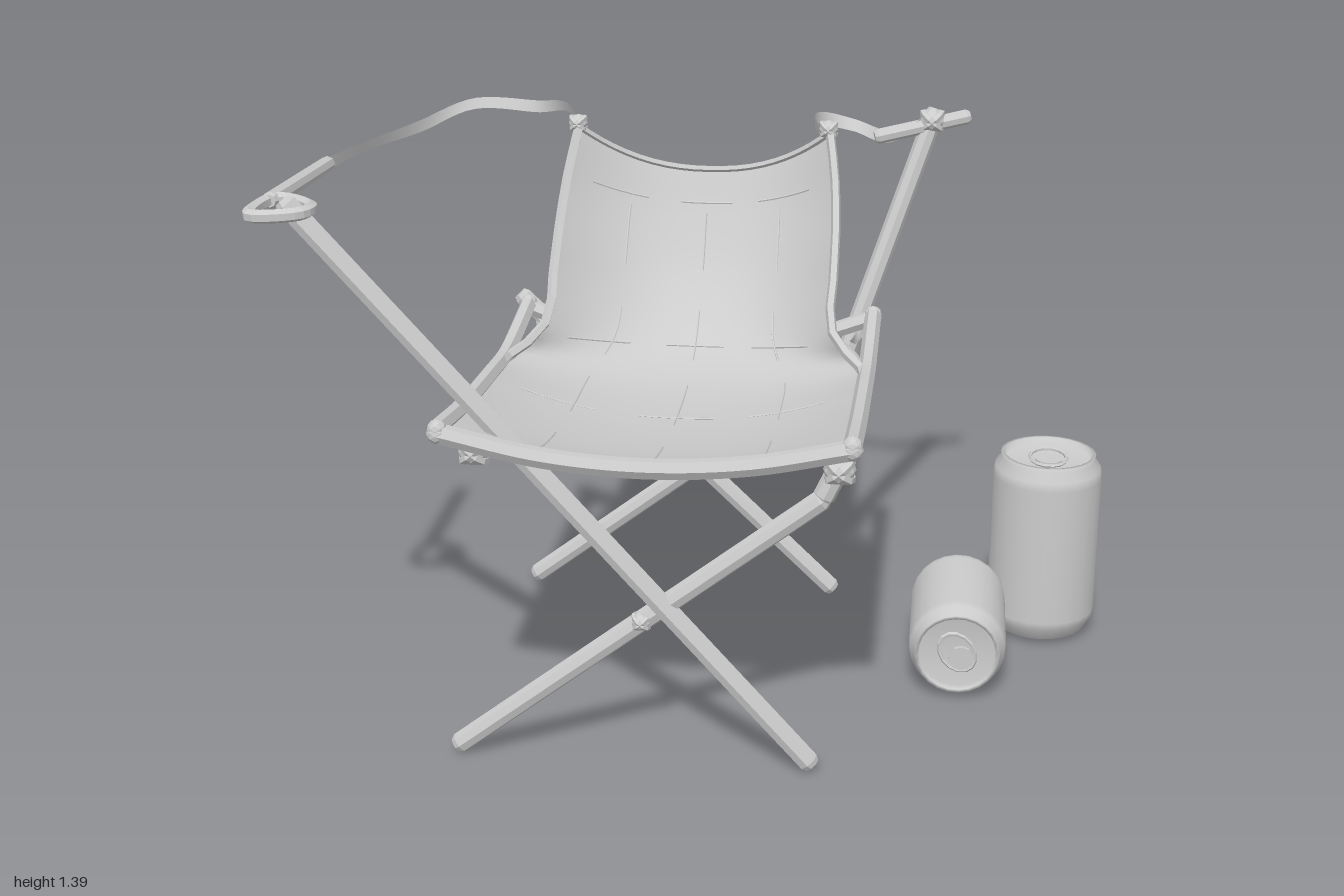
import * as THREE from 'three';
import { ParametricGeometry } from 'three/addons/geometries/ParametricGeometry.js';

const V = (p) => new THREE.Vector3(...p);
const CX = -0.09; // centre line of the seat

export function createModel() {
  const model = new THREE.Group();
  const wood = new THREE.MeshStandardMaterial({ color: 0xcccccc, flatShading: true });
  const smooth = new THREE.MeshStandardMaterial({ color: 0xcccccc });
  const cloth = new THREE.MeshStandardMaterial({ color: 0xcccccc, side: THREE.DoubleSide });

  function add(name, geometry, material = wood, parent = model) {
    const mesh = new THREE.Mesh(geometry, material);
    mesh.name = name;
    parent.add(mesh);
    return mesh;
  }

  // straight pole between two points, with softened ends
  function pole(name, a, b, r = 0.026) {
    const from = V(a), dir = V(b).sub(from), len = dir.length();
    const profile = [[0, 0], [r * 0.75, 0], [r, r * 0.5], [r, len - r * 0.5], [r * 0.75, len], [0, len]];
    const mesh = add(name, new THREE.LatheGeometry(profile.map((p) => new THREE.Vector2(...p)), 8));
    mesh.position.copy(from);
    mesh.quaternion.setFromUnitVectors(new THREE.Vector3(0, 1, 0), dir.normalize());
  }

  // rounded rod through several points
  function rod(name, points, r, closed = false, sides = 6) {
    const curve = new THREE.CatmullRomCurve3(points.map(V), closed, 'centripetal');
    add(name, new THREE.TubeGeometry(curve, points.length * 6, r, sides, closed));
    if (!closed) for (const p of [points[0], points[points.length - 1]]) {
      add(name + 'End', new THREE.IcosahedronGeometry(r * 1.05, 1)).position.set(...p);
    }
  }

  // lashing wrapped around a joint
  function lashing(p, size = 0.045) {
    const group = new THREE.Group();
    group.name = 'lashing';
    group.position.set(...p);
    add('knot', new THREE.IcosahedronGeometry(size, 1), wood, group).scale.set(0.85, 0.8, 0.95);
    for (const tilt of [-0.7, 0.7]) {
      add('wrap', new THREE.TorusGeometry(size * 0.8, size * 0.25, 5, 10), wood, group).rotation.set(Math.PI / 2, tilt, 0);
    }
    model.add(group);
  }

  // flat strap standing on edge along a curve
  function strap(name, points, width = 0.032) {
    const curve = new THREE.CatmullRomCurve3(points.map(V));
    add(name, new ParametricGeometry((u, v, out) => {
      curve.getPoint(u, out);
      const lean = Math.sin(u * 9) * 0.6;
      out.y += (v - 0.5) * width * Math.cos(lean);
      out.z += (v - 0.5) * width * Math.sin(lean);
    }, 40, 1), cloth);
  }

  // crossed legs, front and back
  pole('frontLongLeg', [0.29, 0.02, 0.5], [-0.92, 1.38, 0.5], 0.027);
  pole('frontShortLeg', [-0.58, 0.02, 0.5], [0.31, 0.71, 0.48]);
  pole('frontShortLegTip', [0.3, 0.7, 0.48], [0.37, 0.85, 0.47]);
  pole('backLongLeg', [-0.58, 0.02, -0.5], [0.29, 0.7, -0.47]);
  pole('backLongLegUpper', [0.28, 0.67, -0.465], [0.52, 1.38, -0.63]);
  pole('backShortLeg', [0.28, 0.02, -0.5], [-0.59, 0.88, -0.46]);
  lashing([-0.51, 0.79, 0.48]);
  lashing([0.34, 0.78, 0.48]);
  lashing([0.3, 0.69, -0.47]);
  lashing([-0.51, 0.8, -0.46]);
  for (const z of [0.5, -0.5]) lashing([-0.12, 0.38, z], 0.028);

  // seat frame
  for (const s of [-1, 1]) {
    const x = CX + s * 0.465;
    rod('sideRail', [[x, 0.9, 0.64], [x, 0.865, 0.4], [x, 0.84, 0.1], [x, 0.83, -0.1], [x, 0.87, -0.41]], 0.022);
    rod('innerBrace', [[x, 0.83, -0.02], [x - s * 0.05, 0.83, -0.2], [x - s * 0.1, 0.8, -0.38]], 0.014);
    strap('railTie', [[x, 0.86, -0.4], [x - s * 0.03, 0.81, -0.44], [CX + s * 0.4, 0.76, -0.47]]);
  }
  const across = (z, yEnd, yMid, zMid) => [-1, -0.5, 0, 0.5, 1].map((s) =>
    [CX + s * 0.465, yMid + (yEnd - yMid) * s * s, zMid + (z - zMid) * s * s]);
  rod('frontRail', across(0.64, 0.89, 0.83, 0.65), 0.024);
  rod('rearRail', across(-0.41, 0.86, 0.77, -0.36), 0.022);

  // sling: each row is edge z, edge y, middle z, middle y, half width
  const rows = [
    [0.64, 0.895, 0.65, 0.83, 0.46], [0.4, 0.865, 0.4, 0.765, 0.46], [0.12, 0.84, 0.1, 0.735, 0.46],
    [-0.09, 0.835, -0.17, 0.75, 0.445], [-0.15, 0.88, -0.33, 0.81, 0.375], [-0.28, 1.02, -0.47, 0.94, 0.365],
    [-0.42, 1.18, -0.56, 1.08, 0.36], [-0.52, 1.33, -0.62, 1.2, 0.335],
  ];
  const edge = new THREE.CatmullRomCurve3(rows.map((r) => new THREE.Vector3(r[4], r[1], r[0])));
  const middle = new THREE.CatmullRomCurve3(rows.map((r) => new THREE.Vector3(0, r[3], r[2])));
  function sling(u, v, out, lift = 0) {
    const s = u * 2 - 1, e = edge.getPoint(v), m = middle.getPoint(v);
    const k = Math.abs(s) ** 2.3;
    return out.set(CX + s * e.x, m.y + (e.y - m.y) * k + lift, m.z + (e.z - m.z) * k + lift);
  }
  add('slingSeat', new ParametricGeometry((u, v, out) => sling(u, v, out), 20, 36), cloth);

  // hems and stitched seams following the sling
  function seam(name, path, r, a, b) {
    const points = [];
    for (let i = 0; i <= 10; i++) {
      const [u, v] = path(a + (b - a) * i / 10);
      points.push(sling(u, v, new THREE.Vector3(), r * 0.3));
    }
    add(name, new THREE.TubeGeometry(new THREE.CatmullRomCurve3(points), 20, r, 5));
  }
  for (const u of [0, 1]) seam('sideHem', (t) => [u, t], 0.013, 0, 1);
  seam('topHem', (t) => [t, 1], 0.009, 0, 1);
  for (const u of [0.22, 0.5, 0.78]) {
    for (const v of [0.04, 0.27, 0.5, 0.73]) seam('longSeam', (t) => [u, t], 0.003, v, v + 0.14);
  }
  for (const v of [0.3, 0.55, 0.9]) {
    for (const u of [0.08, 0.4, 0.7]) seam('crossSeam', (t) => [t, v], 0.003, u, u + 0.2);
  }

  // arm stick with its end loop, and the strap back to the sling
  rod('armLoop', [[-0.97, 1.36, 0.42], [-0.98, 1.355, 0.55], [-0.87, 1.36, 0.54], [-0.86, 1.36, 0.48], [-0.93, 1.36, 0.42]], 0.016, true);
  pole('armStick', [-0.97, 1.36, 0.44], [-0.97, 1.335, -0.03], 0.02);
  strap('longStrap', [[-0.97, 1.335, -0.02], [-0.94, 1.33, -0.22], [-0.84, 1.34, -0.44], [-0.72, 1.375, -0.58],
    [-0.56, 1.36, -0.63], [-0.46, 1.37, -0.57], [-0.425, 1.31, -0.52]]);
  strap('shortStrap', [[0.24, 1.31, -0.51], [0.2, 1.35, -0.61], [0.3, 1.34, -0.59], [0.4, 1.31, -0.59], [0.5, 1.35, -0.62]], 0.035);
  pole('strapToggle', [0.36, 1.31, -0.58], [0.61, 1.36, -0.64], 0.02);
  lashing([0.51, 1.35, -0.62], 0.04);
  for (const p of [[-0.43, 1.34, -0.53], [0.24, 1.34, -0.53]]) lashing(p, 0.03);

  // drink can with rims and recessed ends
  function can(name, r, h, tabAtBase) {
    const group = new THREE.Group();
    group.name = name;
    const profile = [[0, 0.025], [r * 0.7, 0.025], [r * 0.78, 0], [r * 0.84, 0.005], [r * 0.98, 0.04], [r, 0.06],
      [r, h - 0.06], [r * 0.97, h - 0.035], [r * 0.85, h - 0.012], [r * 0.87, h], [r * 0.8, h], [r * 0.77, h - 0.018], [0, h - 0.018]];
    add('canBody', new THREE.LatheGeometry(profile.map((p) => new THREE.Vector2(...p)), 24), smooth, group);
    for (const base of tabAtBase ? [false, true] : [false]) {
      const y = base ? 0.022 : h - 0.014;
      add('tab', new THREE.CylinderGeometry(r * 0.26, r * 0.26, 0.012, 10), wood, group).position.set(0, y, r * 0.15);
      const ring = add('opening', new THREE.TorusGeometry(r * 0.34, 0.005, 5, 14), wood, group);
      ring.rotation.x = Math.PI / 2;
      ring.scale.y = 1.3;
      ring.position.y = y;
    }
    model.add(group);
    return group;
  }
  const standing = can('standingCan', 0.145, 0.5, false);
  standing.position.set(0.855, 0.015, -0.365);
  const lying = can('lyingCan', 0.125, 0.39, true);
  lying.rotation.set(Math.PI / 2, 0.6, 0);
  lying.position.set(0.63, 0.128, -0.3);

  return model;
}
